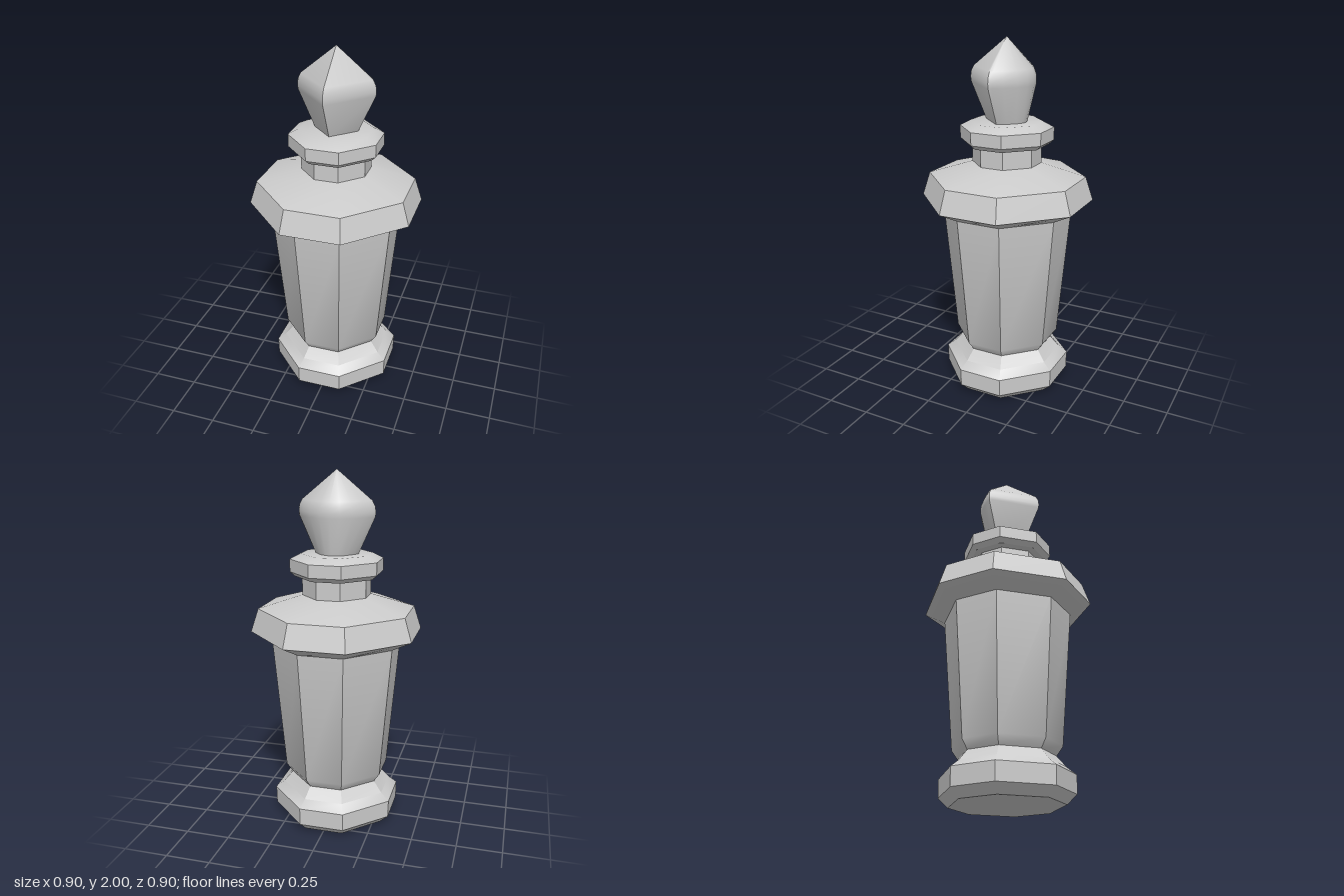
import * as THREE from 'three';
import { toCreasedNormals } from 'three/addons/utils/BufferGeometryUtils.js';

const material = new THREE.MeshStandardMaterial({ color: 0xcccccc });

// Skin between stacked rings (each a list of [x, y, z], running from +z to +x), closed by fans
function loft(name, rings, crease) {
  const n = rings[0].length;
  const points = rings.flat();
  const index = [];
  for (let i = 0; i < rings.length - 1; i++) {
    for (let j = 0; j < n; j++) {
      const a = i * n + j, b = i * n + (j + 1) % n;
      index.push(a, b, b + n, a, b + n, a + n);
    }
  }
  const last = (rings.length - 1) * n;
  const bottom = points.push([0, rings[0][0][1], 0]) - 1;
  const top = points.push([0, rings[rings.length - 1][0][1], 0]) - 1;
  for (let j = 0; j < n; j++) {
    const k = (j + 1) % n;
    index.push(bottom, k, j, top, last + j, last + k);
  }
  const geometry = new THREE.BufferGeometry();
  geometry.setAttribute('position', new THREE.Float32BufferAttribute(points.flat(), 3));
  geometry.setIndex(index);
  const mesh = new THREE.Mesh(toCreasedNormals(geometry, crease), material);
  mesh.name = name;
  return mesh;
}

// Octagon with flats on the axes, slightly wider on the diagonals
function octagon([apothem, y]) {
  const h = apothem * 0.366, a = apothem;
  return [[-h, a], [h, a], [a, h], [a, -h], [h, -a], [-h, -a], [-a, -h], [-a, h]]
    .map(([x, z]) => [x, y, z]);
}

// Finial section: pointed at the front, rounded at the back
const rightHalf = [[0.209, 0.013], [0.215, 0], [0.205, -0.02], [0.17, -0.065],
  [0.115, -0.12], [0.055, -0.15]];
const leftHalf = rightHalf.map(([x, z]) => [-x, z]).reverse();
const finialSection = [[0, 0.222], ...rightHalf, [0, -0.16], ...leftHalf];

function finialRing([scale, y, back]) {
  return finialSection.map(([x, z]) => [x * scale, y, z * scale * (z < 0 ? back : 1)]);
}

export function createModel() {
  const model = new THREE.Group();
  model.name = 'finialPost';

  // [apothem, height] profiles from bottom to top
  const profiles = {
    foot: [[0.29, 0], [0.34, 0.05], [0.342, 0.15], [0.295, 0.19], [0.247, 0.25]],
    body: [[0.247, 0.25], [0.28, 0.3], [0.342, 1.06]],
    shoulder: [[0.342, 1.06], [0.452, 1.12], [0.412, 1.25], [0.18, 1.325]],
    neckAndCollar: [[0.18, 1.325], [0.18, 1.425], [0.217, 1.43], [0.243, 1.455],
      [0.243, 1.525], [0.188, 1.555]],
  };
  for (const [name, profile] of Object.entries(profiles)) {
    model.add(loft(name, profile.map(octagon), 0.55));
  }

  // Jewel-shaped finial: [scale, height, depth of the rounded back]
  const finial = [[0.56, 1.55, 1.28], [0.99, 1.755, 1], [1, 1.78, 1], [0.98, 1.81, 1],
    [0.91, 1.84, 1], [0.001, 2, 1]];
  model.add(loft('finial', finial.map(finialRing), 0.65));
  return model;
}
